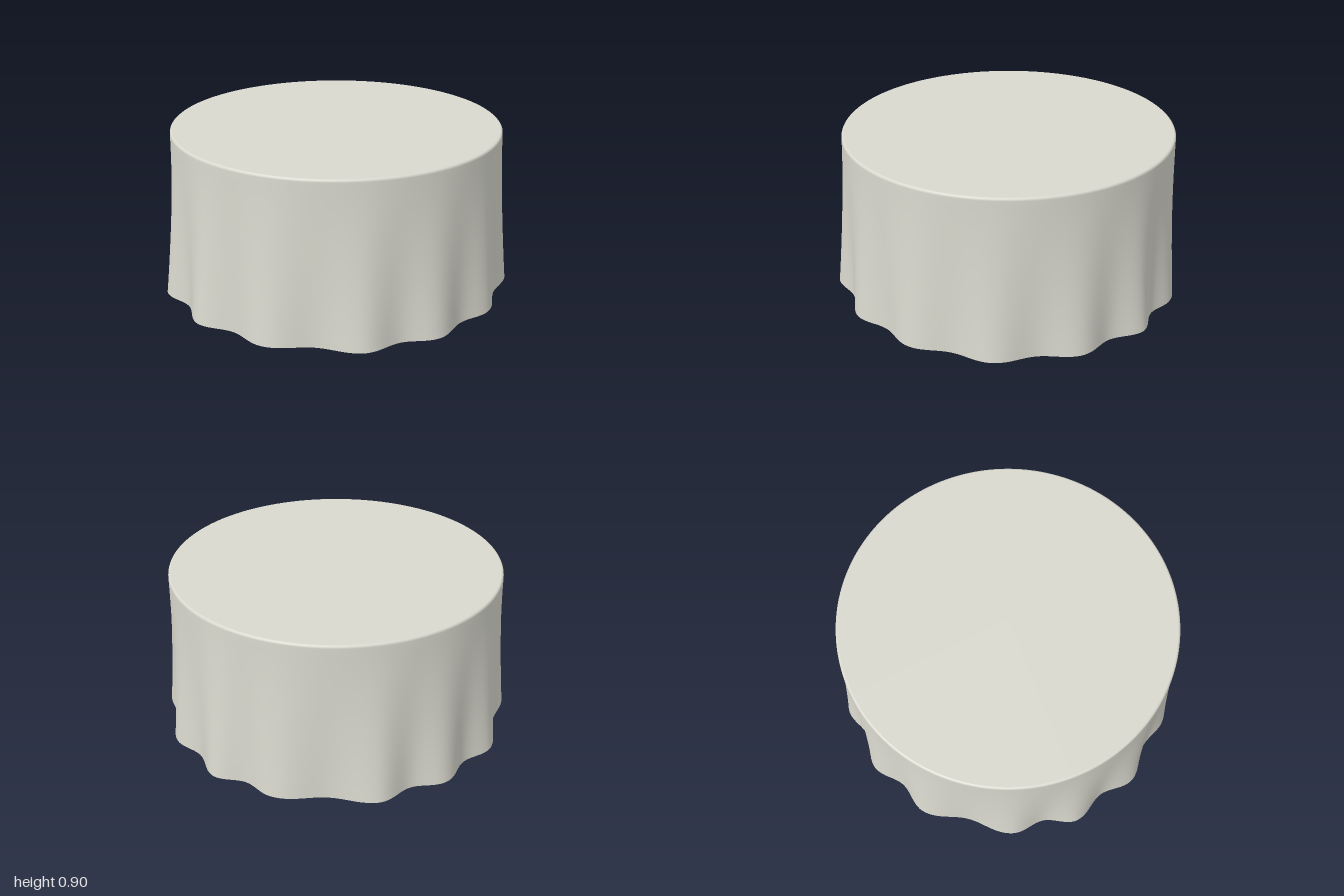
import * as THREE from 'three';

const HEIGHT = 0.9, TOP_R = 0.92, SEGMENTS = 336;

// Hem folds: [angle in degrees from +x towards +z, crest radius]
const FOLDS = [
  [0, 1.0], [23.5, 0.99], [51, 0.985], [78, 0.985], [102, 0.99], [126.5, 0.995], [157, 0.99],
  [182, 1.0], [206, 1.0], [228.5, 0.99], [260, 0.995], [283, 0.995], [306, 1.0], [338.5, 0.985],
];

// Radius of the hem at an angle: rounded crests with shallow valleys between
function hemRadius(deg) {
  for (let i = 0; i < FOLDS.length; i++) {
    const [a, ra] = FOLDS[i];
    const [bRaw, rb] = FOLDS[(i + 1) % FOLDS.length];
    const b = bRaw <= a ? bRaw + 360 : bRaw;
    if (deg < a || deg >= b) continue;
    const t = (deg - a) / (b - a);
    const crest = ra + (rb - ra) * t;
    const valley = b - a > 27 ? 0.935 : 0.938;
    const wave = 0.5 + 0.5 * Math.cos(t * Math.PI * 2);
    return valley + (crest - valley) * wave;
  }
  return TOP_R;
}

function ring(y, radiusAt) {
  return Array.from({ length: SEGMENTS }, (_, i) => {
    const deg = (i / SEGMENTS) * 360, a = THREE.MathUtils.degToRad(deg), r = radiusAt(deg);
    return [r * Math.cos(a), y, r * Math.sin(a)];
  });
}

// Smooth skin through rings listed from top to bottom
function skin(rings) {
  const index = [];
  for (let j = 0; j < rings.length - 1; j++) {
    for (let i = 0; i < SEGMENTS; i++) {
      const n = (i + 1) % SEGMENTS;
      const a = j * SEGMENTS + i, b = j * SEGMENTS + n;
      index.push(a, b, a + SEGMENTS, b, b + SEGMENTS, a + SEGMENTS);
    }
  }
  return finish(rings.flat(2), index);
}

// Flat fan closing one ring
function cap(points, up) {
  const index = [];
  for (let i = 0; i < SEGMENTS; i++) {
    const n = (i + 1) % SEGMENTS;
    index.push(SEGMENTS, up ? n : i, up ? i : n);
  }
  return finish([...points, [0, points[0][1], 0]].flat(), index);
}

function finish(positions, index) {
  const g = new THREE.BufferGeometry();
  g.setAttribute('position', new THREE.Float32BufferAttribute(positions, 3));
  g.setIndex(index);
  g.computeVertexNormals();
  return g;
}

export function createModel() {
  const group = new THREE.Group();
  group.name = 'drapedRoundTable';
  const cloth = new THREE.MeshStandardMaterial({ color: 0xd8d8ce });
  cloth.name = 'off-white cloth';

  // Rounded rim, then the drape whose folds grow towards the hem
  const rings = [];
  for (let k = 0; k <= 4; k++) {
    const a = (k / 4) * Math.PI / 2;
    rings.push(ring(HEIGHT - 0.015 * (1 - Math.cos(a)), () => TOP_R - 0.012 * (1 - Math.sin(a))));
  }
  const drop = HEIGHT - 0.015, steps = 20;
  for (let k = 1; k <= steps; k++) {
    const t = k / steps;
    rings.push(ring(drop * (1 - t), (deg) => TOP_R + (hemRadius(deg) - TOP_R) * Math.pow(t, 1.4)));
  }

  const add = (name, geometry) => {
    const mesh = new THREE.Mesh(geometry, cloth);
    mesh.name = name;
    group.add(mesh);
  };
  add('clothDrape', skin(rings));
  add('tableTop', cap(rings[0], true));
  add('underside', cap(rings[rings.length - 1], false));
  return group;
}
